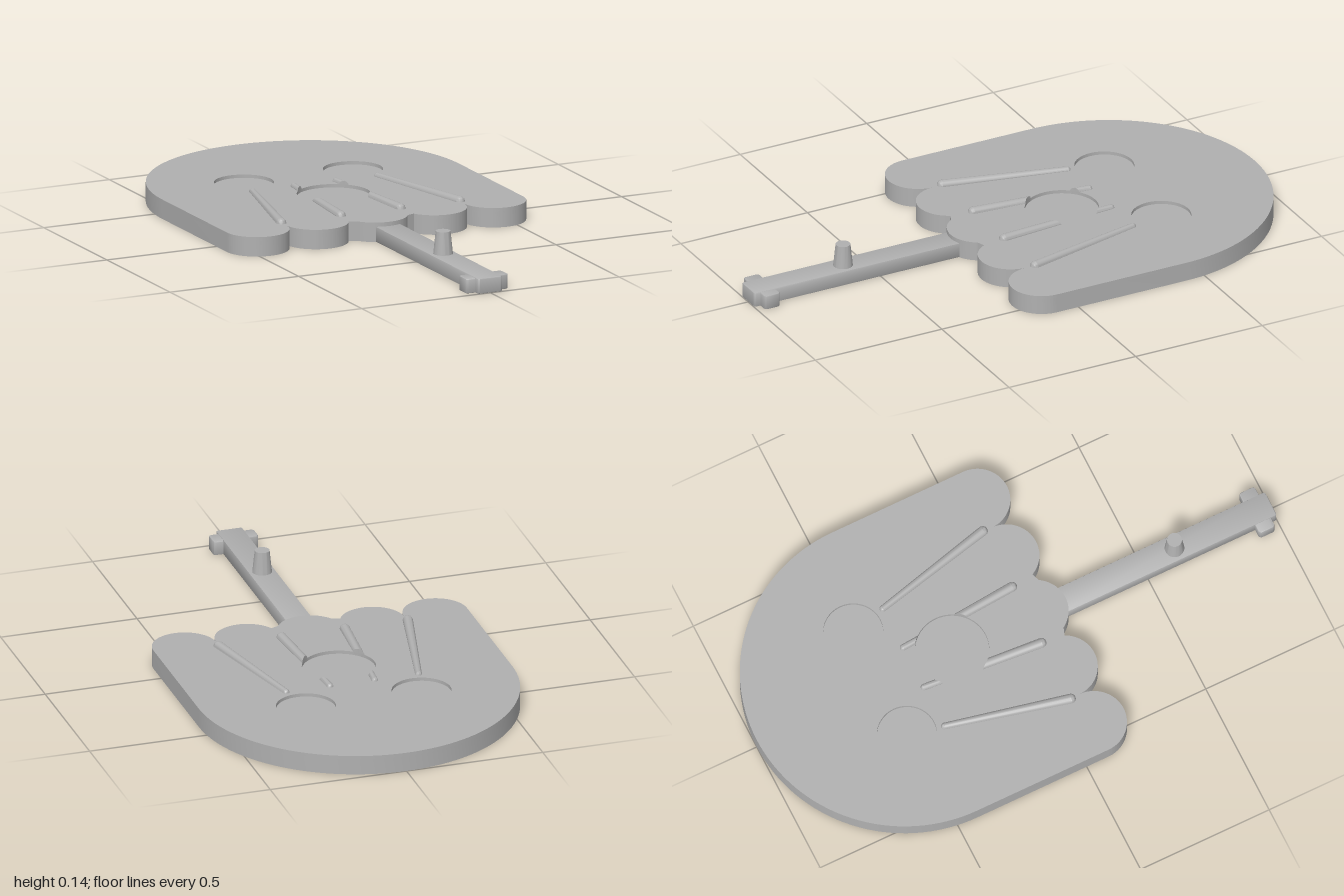
import * as THREE from 'three';
import { toCreasedNormals } from 'three/addons/utils/BufferGeometryUtils.js';

const TOP = 0.07, RECESS = 0.012;
const MOUTH = { x: 0, z: -0.24, r: 0.13 };
const EYES = [-1, 1].map((s) => ({ x: s * 0.212, z: -0.52, r: 0.105 }));

export function createModel() {
  const model = new THREE.Group();
  const grey = new THREE.MeshStandardMaterial({ color: 0xb0b0b0 });
  grey.name = 'grey plastic';

  const add = (name, geometry, crease = 0.6) => {
    const mesh = new THREE.Mesh(toCreasedNormals(geometry, crease), grey);
    mesh.name = name;
    model.add(mesh);
    return mesh;
  };

  // Shapes are drawn with y = -z, then laid flat from height y0 to y1
  const slab = (shape, y0, y1, bevel = 0) => {
    const g = new THREE.ExtrudeGeometry(shape, {
      depth: y1 - y0 - 2 * bevel, curveSegments: 32, bevelEnabled: bevel > 0,
      bevelSize: bevel, bevelThickness: bevel, bevelOffset: -bevel, bevelSegments: 2,
    });
    return g.rotateX(-Math.PI / 2).translate(0, y0 + bevel, 0);
  };

  // Domed plate with a scalloped front edge
  const outline = () => {
    const s = new THREE.Shape(), P = Math.PI, r = 0.115, y = -0.085;
    s.moveTo(0.575, y);
    s.absarc(0, 0.425, 0.575, 0, P);
    s.lineTo(-0.575, y);
    s.absarc(-0.46, y, r, P, 2 * P);
    s.absarc(-0.23, y, r, P, 2 * P - 0.45);
    s.absarc(0, y, r, P + 0.547, 2 * P - 0.547);
    s.absarc(0.23, y, r, P + 0.45, 2 * P);
    s.absarc(0.46, y, r, P, 2 * P);
    return s;
  };
  add('plateBase', slab(outline(), 0, TOP - RECESS));

  // Top layer, pierced to leave shallow eye and mouth recesses
  const face = outline();
  for (const c of [MOUTH, ...EYES]) {
    face.holes.push(new THREE.Path().absarc(c.x, -c.z, c.r, 0, Math.PI * 2, true));
  }
  add('plateFace', slab(face, TOP - RECESS, TOP));

  // Tapered half-sunk ridges, rounded at the outer ends
  const R0 = 0.012, R1 = 0.018, Z0 = -0.39, Z1 = 0.05;
  const ridge = (name, xa, xb, ta, tb, cutBack, cutFront) => {
    const at = (t) => new THREE.Vector3(xa + (xb - xa) * t, TOP, Z0 + (Z1 - Z0) * t);
    const rad = (t) => R0 + (R1 - R0) * t;
    const a = at(ta), b = at(tb), dir = b.clone().sub(a);
    const g = new THREE.CylinderGeometry(rad(tb), rad(ta), dir.length(), 20);
    const p = g.attributes.position;
    const isFront = Array.from({ length: p.count }, (_, i) => p.getY(i) > 0);
    g.applyQuaternion(new THREE.Quaternion().setFromUnitVectors(
      new THREE.Vector3(0, 1, 0), dir.clone().normalize()));
    const mid = a.clone().add(b).multiplyScalar(0.5);
    g.translate(mid.x, mid.y, mid.z);
    // Trim the inner ends along the rim of the mouth
    for (let i = 0; i < p.count; i++) {
      const chord = Math.sqrt(Math.max(0, MOUTH.r ** 2 - p.getX(i) ** 2));
      if (isFront[i] && cutFront) p.setZ(i, MOUTH.z - chord);
      if (!isFront[i] && cutBack) p.setZ(i, MOUTH.z + chord);
    }
    add(name, g);
    const cap = (t, q) => add(name + 'End',
      new THREE.SphereGeometry(rad(t), 20, 12).translate(q.x, q.y, q.z));
    if (!cutBack) cap(ta, a);
    if (!cutFront) cap(tb, b);
  };
  for (const s of [-1, 1]) {
    const side = s > 0 ? 'left' : 'right';
    ridge(side + 'OuterRidge', s * 0.243, s * 0.347, 0, 1, false, false);
    ridge(side + 'InnerRidgeBack', s * 0.082, s * 0.116, 0, 0.12, false, true);
    ridge(side + 'InnerRidgeFront', s * 0.082, s * 0.116, 0.5, 1, true, false);
  }

  // Handle strip with its cross-shaped end
  const rect = (w, z0, z1, r) => {
    const s = new THREE.Shape();
    s.moveTo(-w + r, -z1);
    s.lineTo(w - r, -z1);
    s.absarc(w - r, -z1 + r, r, -Math.PI / 2, 0);
    s.absarc(w - r, -z0 - r, r, 0, Math.PI / 2);
    s.absarc(-w + r, -z0 - r, r, Math.PI / 2, Math.PI);
    s.absarc(-w + r, -z1 + r, r, Math.PI, Math.PI * 1.5);
    return s;
  };
  add('handle', slab(rect(0.048, 0.15, 1.0, 0.008), 0, 0.055, 0.004));
  add('handleCrossbar', slab(rect(0.083, 0.915, 0.977, 0.012), 0, 0.053, 0.004));

  // Tapered peg on the handle
  add('peg', new THREE.CylinderGeometry(0.026, 0.035, 0.087, 40).translate(0, 0.0935, 0.625));

  return model;
}
